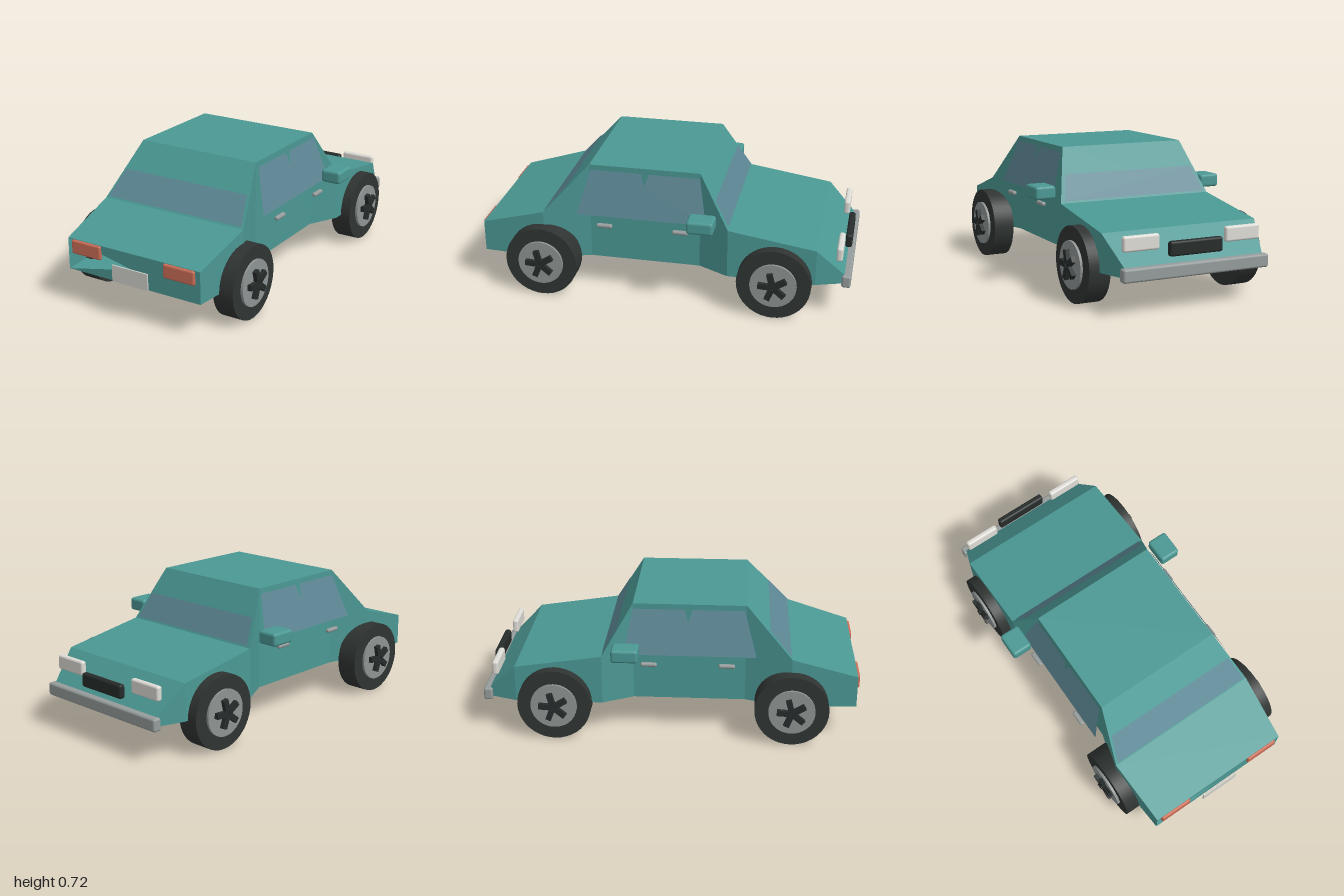
import * as THREE from 'three';
import { RoundedBoxGeometry } from 'three/addons/geometries/RoundedBoxGeometry.js';

const mat = (name, color, extra = {}) => {
  const m = new THREE.MeshStandardMaterial({ color, ...extra });
  m.name = name;
  return m;
};

export function createModel() {
  const car = new THREE.Group();
  car.name = 'car';
  const paint = mat('teal paint', 0x4b9894, { side: THREE.DoubleSide, flatShading: true });
  const glass = mat('blue grey glass', 0x5c8794, { side: THREE.DoubleSide, flatShading: true });
  const rubber = mat('black rubber', 0x2f3432);
  const black = mat('black trim', 0x262c2b);
  const rimGrey = mat('rim grey', 0x8e9493);
  const chrome = mat('chrome', 0x959c9b);
  const red = mat('tail light red', 0xc96c56);
  const white = mat('light white', 0xdedcd6);
  const plateWhite = mat('plate white', 0xcfcfca);

  const add = (name, geometry, material, parent = car) => {
    const mesh = new THREE.Mesh(geometry, material);
    mesh.name = name;
    parent.add(mesh);
    return mesh;
  };
  // Rounded box given by its minimum and maximum corners
  const block = (name, material, a, b, r = 0.012) => {
    const s = a.map((v, i) => b[i] - v);
    const mesh = add(name, new RoundedBoxGeometry(...s, 3, Math.min(r, ...s.map((v) => v * 0.45))), material);
    mesh.position.set(...a.map((v, i) => (v + b[i]) / 2));
  };
  const surface = (tris) => {
    const g = new THREE.BufferGeometry();
    g.setAttribute('position', new THREE.Float32BufferAttribute(tris.flat(), 3));
    g.computeVertexNormals();
    return g;
  };
  const quad = (a, b, c, d) => [a, b, c, a, c, d];

  // Body: stations from tail to nose as [z, half width, top height]
  const base = 0.19;
  const stations = [
    [0.975, 0.4, 0.36], [0.63, 0.425, 0.46], [0.39, 0.35, 0.725], [-0.2, 0.35, 0.725],
    [-0.36, 0.433, 0.455], [-0.82, 0.433, 0.385], [-0.965, 0.385, 0.24],
  ];
  const ring = stations.map(([z, w, y]) => [[w, base, z], [w, y, z], [-w, y, z], [-w, base, z]]);
  const tris = [];
  for (let i = 0; i < ring.length - 1; i++) {
    for (let j = 0; j < 4; j++) {
      const k = (j + 1) % 4;
      tris.push(...quad(ring[i][j], ring[i + 1][j], ring[i + 1][k], ring[i][k]));
    }
  }
  // Tail panel fan, open on one side
  const middle = [0, 0.275, 0.975];
  for (const j of [0, 1, 3]) tris.push(middle, ring[0][j], ring[0][(j + 1) % 4]);
  add('body', surface(tris), paint);

  // Screens lie on the lower half of the sloping panels
  const screen = (name, low, high, nz) => {
    const at = (t, w) => {
      const p = [0, 1, 2].map((i) => low[i] + (high[i] - low[i]) * t);
      return [w, p[1] + 0.003, p[2] + 0.004 * nz];
    };
    const p = [at(0.03, -0.41), at(0.03, 0.41), at(0.5, 0.375), at(0.5, -0.375)];
    add(name, surface(nz > 0 ? quad(...p) : quad(...p.reverse())), glass);
  };
  screen('rearWindow', [0, 0.46, 0.63], [0, 0.725, 0.39], 1);
  screen('windscreen', [0, 0.455, -0.36], [0, 0.725, -0.2], -1);

  // Slanted side windows with a notch in the top edge
  const outline = [[0.445, 0.47], [-0.245, 0.47], [-0.2, 0.7], [0.07, 0.7], [0.09, 0.635], [0.11, 0.7], [0.38, 0.7]];
  for (const s of [1, -1]) {
    const side = s > 0 ? 'left' : 'right';
    const shape = new THREE.Shape(outline.map(([z, y]) => new THREE.Vector2(z, y)));
    const pane = new THREE.ShapeGeometry(shape);
    const pos = pane.attributes.position;
    for (let i = 0; i < pos.count; i++) {
      const z = pos.getX(i), y = pos.getY(i);
      pos.setXYZ(i, s * (0.43 - (y - 0.47) * 0.304), y, z);
    }
    // Mapping (z, y) to the left side mirrors the winding
    if (s > 0) pane.index.array.reverse();
    pane.computeVertexNormals();
    add(side + 'SideWindow', pane, glass);

    const sided = (name, material, a, b, r) => {
      const xs = [s * a[0], s * b[0]].sort((p, q) => p - q);
      block(side + name, material, [xs[0], a[1], a[2]], [xs[1], b[1], b[2]], r);
    };
    sided('Mirror', paint, [0.432, 0.47, -0.3], [0.545, 0.54, -0.16], 0.015);
    sided('RearHandle', chrome, [0.425, 0.41, 0.25], [0.45, 0.432, 0.335]);
    sided('FrontHandle', chrome, [0.425, 0.41, -0.155], [0.45, 0.432, -0.07]);
    sided('TailLight', red, [0.19, 0.283, 0.965], [0.372, 0.358, 0.988]);
    sided('Headlight', white, [0.185, 0.308, -0.95], [0.38, 0.385, -0.918]);
  }

  // Nose and tail fittings
  block('grille', black, [-0.147, 0.273, -0.985], [0.147, 0.347, -0.95]);
  block('bumper', chrome, [-0.405, 0.172, -1], [0.405, 0.24, -0.952]);
  block('numberPlate', plateWhite, [-0.108, 0.2, 0.992], [0.108, 0.287, 1], 0.001);

  // Wheels: tyre, rim, hub and five spokes, built along +x
  const disc = (name, r, x0, x1, material, parent) => {
    const g = new THREE.CylinderGeometry(r, r, x1 - x0, 40);
    g.rotateZ(-Math.PI / 2);
    add(name, g, material, parent).position.x = (x0 + x1) / 2;
  };
  for (const s of [1, -1]) {
    for (const z of [0.635, -0.61]) {
      const wheel = new THREE.Group();
      wheel.name = (s > 0 ? 'left' : 'right') + (z > 0 ? 'Rear' : 'Front') + 'Wheel';
      disc('tyre', 0.194, 0.374, 0.488, rubber, wheel);
      disc('rim', 0.122, 0.48, 0.501, rimGrey, wheel);
      disc('hub', 0.02, 0.5, 0.516, black, wheel);
      for (let i = 0; i < 5; i++) {
        const g = new THREE.BoxGeometry(0.026, 0.066, 0.03);
        g.translate(0.51, 0.045, 0);
        add('spoke', g, black, wheel).rotation.x = (i * Math.PI * 2) / 5 + 0.25;
      }
      wheel.position.set(0, 0.195, z);
      if (s < 0) wheel.rotation.y = Math.PI;
      car.add(wheel);
    }
  }
  return car;
}
